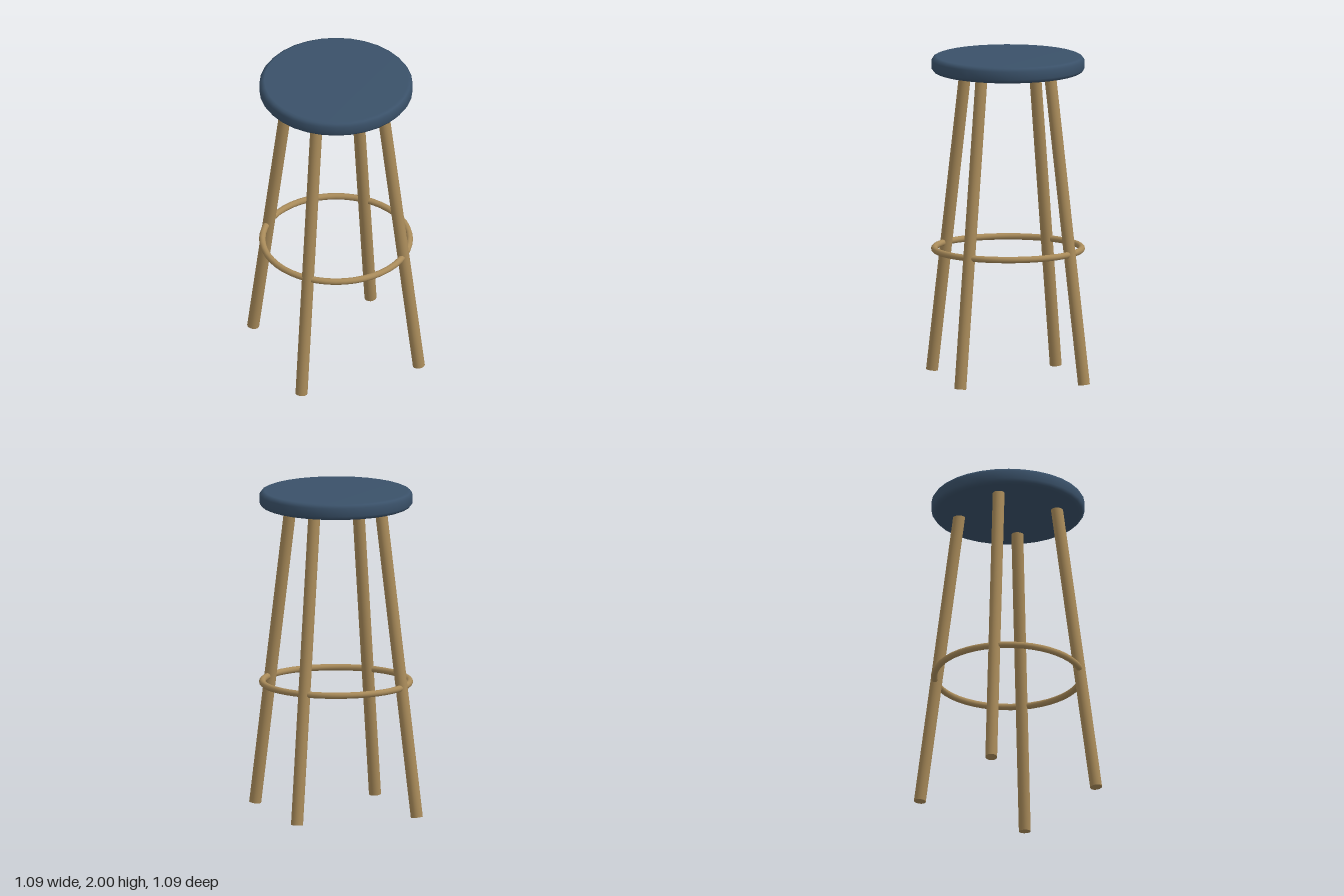
import * as THREE from 'three';

export function createModel() {
  const stool = new THREE.Group();
  stool.name = 'stool';

  const wood = new THREE.MeshStandardMaterial({ color: 0xa98b5a });
  wood.name = 'wood';
  const fabric = new THREE.MeshStandardMaterial({ color: 0x3a5169 });
  fabric.name = 'blue upholstery';

  const add = (name, geometry, material) => {
    const mesh = new THREE.Mesh(geometry, material);
    mesh.name = name;
    stool.add(mesh);
    return mesh;
  };

  // Round cushion with softened rims
  const profile = [
    [0, 1.9], [0.44, 1.9], [0.457, 1.907], [0.47, 1.925],
    [0.47, 1.975], [0.457, 1.993], [0.44, 2], [0, 2],
  ].map(([r, y]) => new THREE.Vector2(r, y));
  add('seat', new THREE.LatheGeometry(profile, 32), fabric);

  // Four splayed legs, turned an eighth of a right angle pair from the axes
  const up = new THREE.Vector3(0, 1, 0);
  const names = ['leftLeg', 'frontLeg', 'rightLeg', 'backLeg'];
  const at = (radius, y, a) =>
    new THREE.Vector3(Math.cos(a) * radius, y, Math.sin(a) * radius);
  names.forEach((name, i) => {
    const a = -Math.PI / 8 + i * Math.PI / 2;
    const foot = at(0.55, 0.005, a);
    const top = at(0.303, 1.92, a);
    const axis = top.clone().sub(foot);
    const leg = add(name, new THREE.CylinderGeometry(0.037, 0.037, axis.length(), 16), wood);
    leg.position.copy(foot).add(top).multiplyScalar(0.5);
    leg.quaternion.setFromUnitVectors(up, axis.normalize());
  });

  // Foot ring running through the legs
  const ring = add('footRing', new THREE.TorusGeometry(0.452, 0.02, 12, 48), wood);
  ring.rotation.x = Math.PI / 2;
  ring.position.y = 0.805;

  return stool;
}
